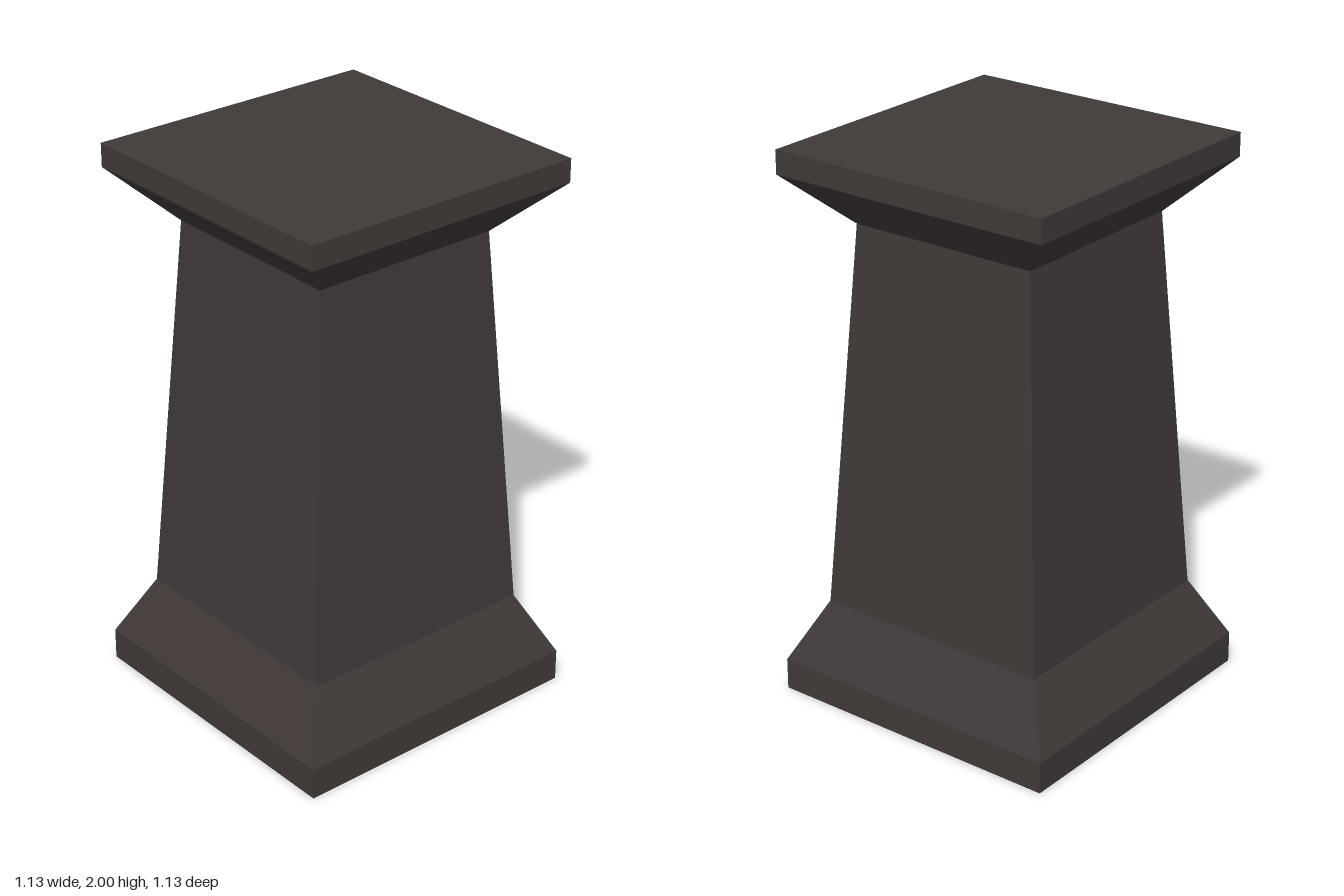
import * as THREE from 'three';

export function createModel() {
  const group = new THREE.Group();
  group.name = 'pedestal';
  const stone = new THREE.MeshStandardMaterial({ color: 0x403938, flatShading: true });
  stone.name = 'darkStone';

  // Square tapered block between two heights, given half widths at bottom and top
  function block(name, y0, half0, y1, half1, closed) {
    const geometry = new THREE.CylinderGeometry(
      half1 * Math.SQRT2, half0 * Math.SQRT2, y1 - y0, 4, 1, !closed);
    geometry.rotateY(Math.PI / 4);
    geometry.translate(0, (y0 + y1) / 2, 0);
    const mesh = new THREE.Mesh(geometry, stone);
    mesh.name = name;
    group.add(mesh);
  }

  block('plinth', 0, 0.563, 0.115, 0.563, true);
  block('baseFlare', 0.115, 0.563, 0.34, 0.45, false);
  block('shaft', 0.34, 0.45, 1.735, 0.36, false);
  block('capitalFlare', 1.735, 0.36, 1.915, 0.542, false);
  block('topSlab', 1.915, 0.542, 2, 0.542, true);

  return group;
}
